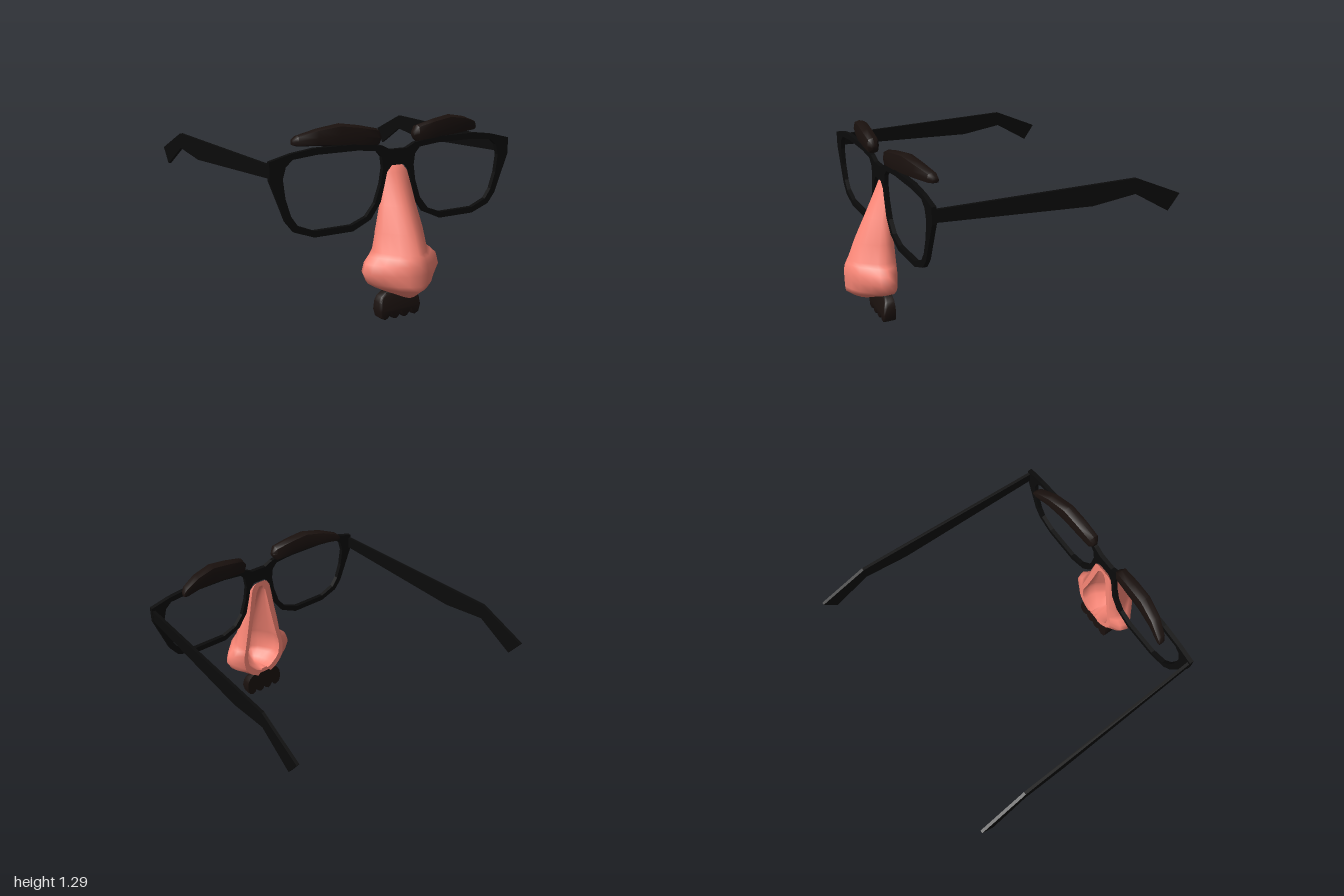
import * as THREE from 'three';
import { toCreasedNormals } from 'three/addons/utils/BufferGeometryUtils.js';

const black = new THREE.MeshStandardMaterial({ color: 0x0b0b0b });
const hair = new THREE.MeshStandardMaterial({ color: 0x1a110e });
const skin = new THREE.MeshStandardMaterial({ color: 0xfa8676 });

const V = (x, y, z) => new THREE.Vector3(x, y, z);
const toShape = (pts) => new THREE.Shape(pts.map(([x, y]) => new THREE.Vector2(x, y)));

function add(parent, name, geometry, material) {
  const mesh = new THREE.Mesh(geometry, material);
  mesh.name = name;
  parent.add(mesh);
  return mesh;
}

// Skin a surface over rows of points; flip turns it inside out
function loft(rows, flip = false) {
  const n = rows[0].length;
  const index = [];
  for (let r = 0; r < rows.length - 1; r++) {
    for (let i = 0; i < n - 1; i++) {
      const a = r * n + i, b = a + n, c = b + 1, d = a + 1;
      if (flip) index.push(a, b, d, d, b, c);
      else index.push(a, d, b, d, c, b);
    }
  }
  const g = new THREE.BufferGeometry().setFromPoints(rows.flat());
  g.setIndex(index);
  g.computeVertexNormals();
  return g;
}

// Flat front frame; outline runs counter-clockwise, lens openings clockwise
function frameGeometry() {
  const half = [
    [0.06, 1.11], [0.12, 1.14], [0.22, 1.155], [0.32, 1.165], [0.6, 1.165], [0.75, 1.145],
    [0.89, 1.11], [0.89, 1.0], [0.84, 0.87], [0.79, 0.74], [0.735, 0.67], [0.6, 0.62],
    [0.33, 0.62], [0.2, 0.68], [0.13, 0.78], [0.1, 0.9], [0.085, 0.97], [0.05, 1.01],
  ];
  const lens = [
    [0.115, 1.0], [0.125, 1.07], [0.16, 1.11], [0.3, 1.125], [0.58, 1.125], [0.74, 1.11],
    [0.785, 1.07], [0.805, 1.0], [0.79, 0.88], [0.755, 0.77], [0.71, 0.705], [0.6, 0.66],
    [0.34, 0.66], [0.235, 0.7], [0.17, 0.78], [0.13, 0.9],
  ];
  const mirror = (pts) => pts.map(([x, y]) => [-x, y]).reverse();
  const shape = toShape([...half, ...mirror(half)].reverse());
  shape.holes.push(toShape(lens), toShape(mirror(lens)));
  return new THREE.ExtrudeGeometry(shape, { depth: 0.03, bevelEnabled: false }).translate(0, 0, 0.7);
}

// Side arm: profile in z and y, splayed outward toward the ear
function templeGeometry(side) {
  const profile = [
    [0.71, 1.09], [-0.655, 1.09], [-1, 0.94], [-0.917, 0.83], [-0.655, 0.985], [-0.34, 0.95], [0.71, 1.01],
  ];
  const shape = toShape(profile.map(([z, y]) => [-z, y]));
  const g = new THREE.ExtrudeGeometry(shape, { depth: 0.02, bevelEnabled: false });
  g.translate(0, 0, -0.01).rotateY(Math.PI / 2);
  const p = g.attributes.position;
  for (let i = 0; i < p.count; i++) {
    p.setX(i, p.getX(i) + side * (0.877 + (0.71 - p.getZ(i)) * 0.043));
  }
  g.computeVertexNormals();
  return g;
}

// Eyebrow: sections along x as [x, y, z, half height, half depth]
function browGeometry(side) {
  const sections = [
    [0.122, 1.19, 0.7, 0, 0], [0.122, 1.19, 0.7, 0.015, 0.018], [0.15, 1.193, 0.702, 0.054, 0.042],
    [0.28, 1.21, 0.695, 0.066, 0.046], [0.41, 1.224, 0.685, 0.071, 0.046], [0.55, 1.217, 0.66, 0.053, 0.043],
    [0.66, 1.199, 0.624, 0.033, 0.034], [0.685, 1.19, 0.613, 0.017, 0.022], [0.688, 1.19, 0.613, 0, 0],
  ];
  const boxy = (v) => Math.sign(v) * Math.abs(v) ** 0.65;
  const rows = sections.map(([x, y, z, h, d]) => {
    const ring = [];
    for (let i = 0; i <= 8; i++) {
      const t = (i / 8) * Math.PI * 2;
      ring.push(V(side * x, y + h * boxy(Math.cos(t)), z + d * boxy(Math.sin(t))));
    }
    return ring;
  });
  return toCreasedNormals(loft(rows, side < 0), 0.8);
}

// Hollow nose: levels as [y, half width at the back, widest half width, depth]
function makeNose() {
  const nose = new THREE.Group();
  nose.name = 'nose';
  const back = 0.688;
  const levels = [
    [1.01, 0.035, 0.035, 0], [0.995, 0.055, 0.06, 0.02], [0.96, 0.075, 0.086, 0.044], [0.88, 0.09, 0.105, 0.086],
    [0.76, 0.11, 0.131, 0.15], [0.6, 0.14, 0.17, 0.232], [0.475, 0.165, 0.19, 0.286], [0.45, 0.17, 0.225, 0.296],
    [0.41, 0.18, 0.268, 0.312], [0.35, 0.185, 0.287, 0.314], [0.28, 0.175, 0.25, 0.312], [0.245, 0.155, 0.195, 0.308],
    [0.2, 0.11, 0.11, 0.25], [0.172, 0.06, 0.05, 0.2], [0.19, 0.05, 0.05, 0],
  ];
  const section = ([y, wb, w, d]) => {
    const half = [[wb, 0], [w * 0.8 + wb * 0.2, 0.13], [w, 0.29], [w * 0.89, 0.45], [w * 0.71, 0.61], [w * 0.5, 0.8], [w * 0.25, 0.92]];
    const left = half.map(([x, z]) => V(x, y, back + z * d));
    const right = half.map(([x, z]) => V(-x, y, back + z * d)).reverse();
    return [...left, V(0, y, back + d), ...right];
  };
  const inner = levels.map(([y, wb, , d]) => {
    const w = Math.max(wb - 0.035, wb * 0.4);
    return [0.58 + (y - 0.58) * 0.91, w, w, d * 0.75];
  });
  const backLoop = (list) => {
    const left = list.map(([y, wb]) => V(wb, y, back));
    const right = list.map(([y, wb]) => V(-wb, y, back)).reverse();
    return [...left, ...right, left[0].clone()];
  };
  add(nose, 'noseOuter', loft(levels.map(section)), skin);
  add(nose, 'noseCavity', loft(inner.map(section), true), skin);
  add(nose, 'noseRim', loft([backLoop(levels), backLoop(inner)]), skin);
  return nose;
}

// Moustache with four rounded tufts along the bottom
function moustacheGeometry() {
  const half = [
    [0, 0.04], [0.014, 0.012], [0.036, 0], [0.058, 0.01], [0.078, 0.04], [0.09, 0.015],
    [0.115, 0.004], [0.145, 0.02], [0.159, 0.07], [0.152, 0.125], [0.134, 0.16], [0.1, 0.185], [0, 0.192],
  ];
  const mirrored = half.slice(1, -1).map(([x, y]) => [-x, y]).reverse();
  const g = new THREE.ExtrudeGeometry(toShape([...half, ...mirrored]), {
    depth: 0.065, bevelThickness: 0.022, bevelSize: 0.014, bevelOffset: -0.014, bevelSegments: 2,
  });
  // Keep the back flat and lean the top of the front backward
  const p = g.attributes.position;
  for (let i = 0; i < p.count; i++) {
    const lean = Math.max(0, p.getY(i) - 0.09) * 0.3;
    const z = Math.max(0, p.getZ(i));
    p.setZ(i, 0.7 + z * (1 - lean / 0.087));
  }
  return toCreasedNormals(g, 0.7);
}

export function createModel() {
  const model = new THREE.Group();
  model.name = 'disguiseGlasses';
  add(model, 'frame', frameGeometry(), black);
  for (const [label, side] of [['left', 1], ['right', -1]]) {
    add(model, label + 'Temple', templeGeometry(side), black);
    add(model, label + 'Eyebrow', browGeometry(side), hair);
  }
  model.add(makeNose());
  add(model, 'moustache', moustacheGeometry(), hair);
  return model;
}
